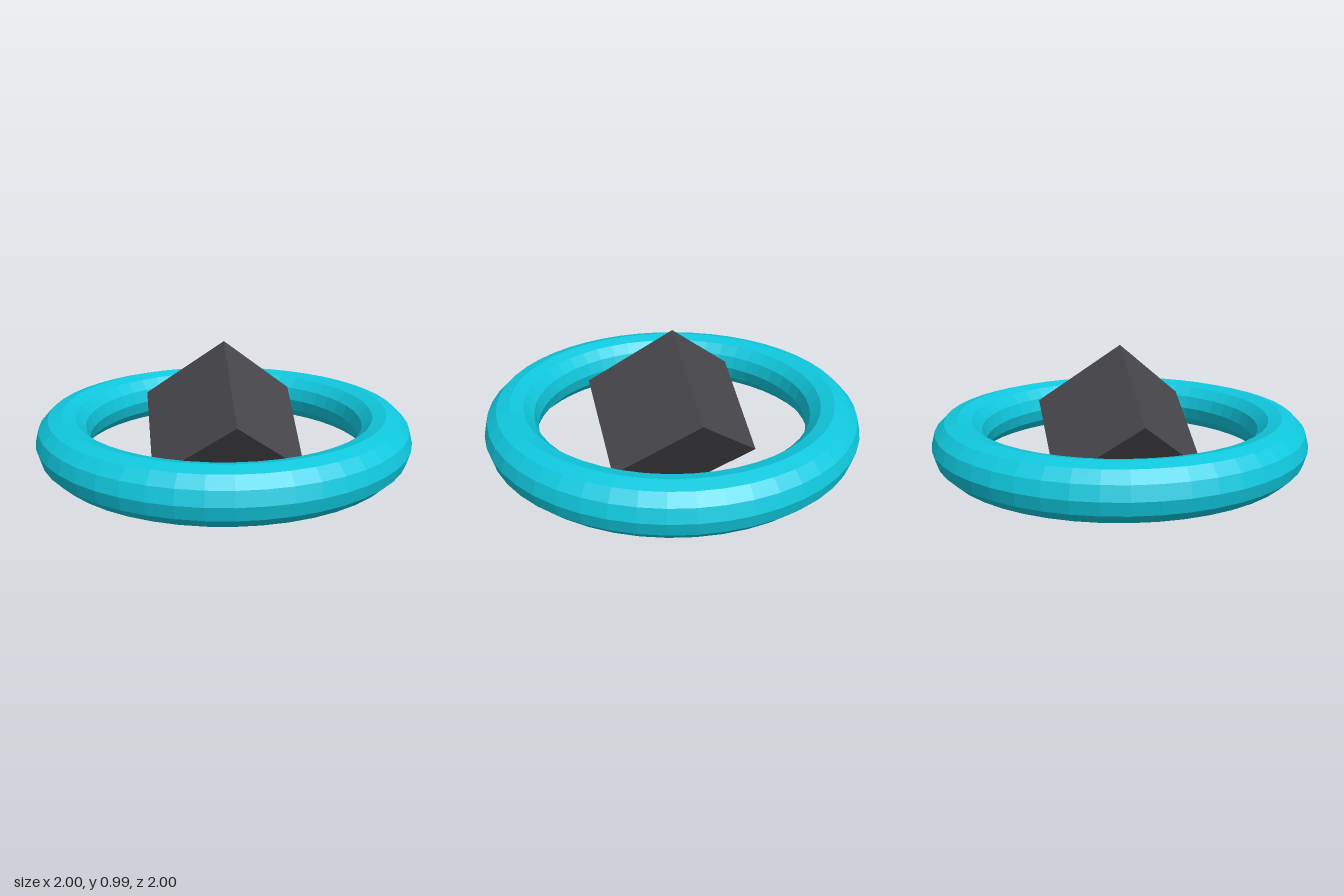
import * as THREE from 'three';

const CUBE_SIDE = 0.57;
const CENTRE_Y = (CUBE_SIDE * Math.sqrt(3)) / 2; // cube stands on one corner

// Direction of a cube edge rising from the bottom corner, at a heading in degrees
function edgeDirection(degrees) {
  const a = THREE.MathUtils.degToRad(degrees);
  const h = Math.sqrt(2 / 3);
  return new THREE.Vector3(h * Math.cos(a), Math.sqrt(1 / 3), h * Math.sin(a));
}

export function createModel() {
  const cyan = new THREE.MeshStandardMaterial({ color: 0x10c8de, flatShading: true });
  cyan.name = 'cyan';
  const charcoal = new THREE.MeshStandardMaterial({ color: 0x48474c, flatShading: true });
  charcoal.name = 'charcoal';

  const model = new THREE.Group();
  model.name = 'ringedCube';

  // Horizontal faceted ring
  const ring = new THREE.Mesh(new THREE.TorusGeometry(0.86, 0.14, 12, 48), cyan);
  ring.name = 'ring';
  ring.rotation.x = Math.PI / 2;
  ring.position.y = CENTRE_Y;
  model.add(ring);

  // Cube balanced on a corner, with its long diagonal upright
  const cube = new THREE.Mesh(new THREE.BoxGeometry(CUBE_SIDE, CUBE_SIDE, CUBE_SIDE), charcoal);
  cube.name = 'cube';
  const heading = 39.9;
  const basis = new THREE.Matrix4().makeBasis(
    edgeDirection(heading),
    edgeDirection(heading - 120),
    edgeDirection(heading - 240)
  );
  cube.quaternion.setFromRotationMatrix(basis);
  cube.position.y = CENTRE_Y;
  model.add(cube);

  return model;
}
